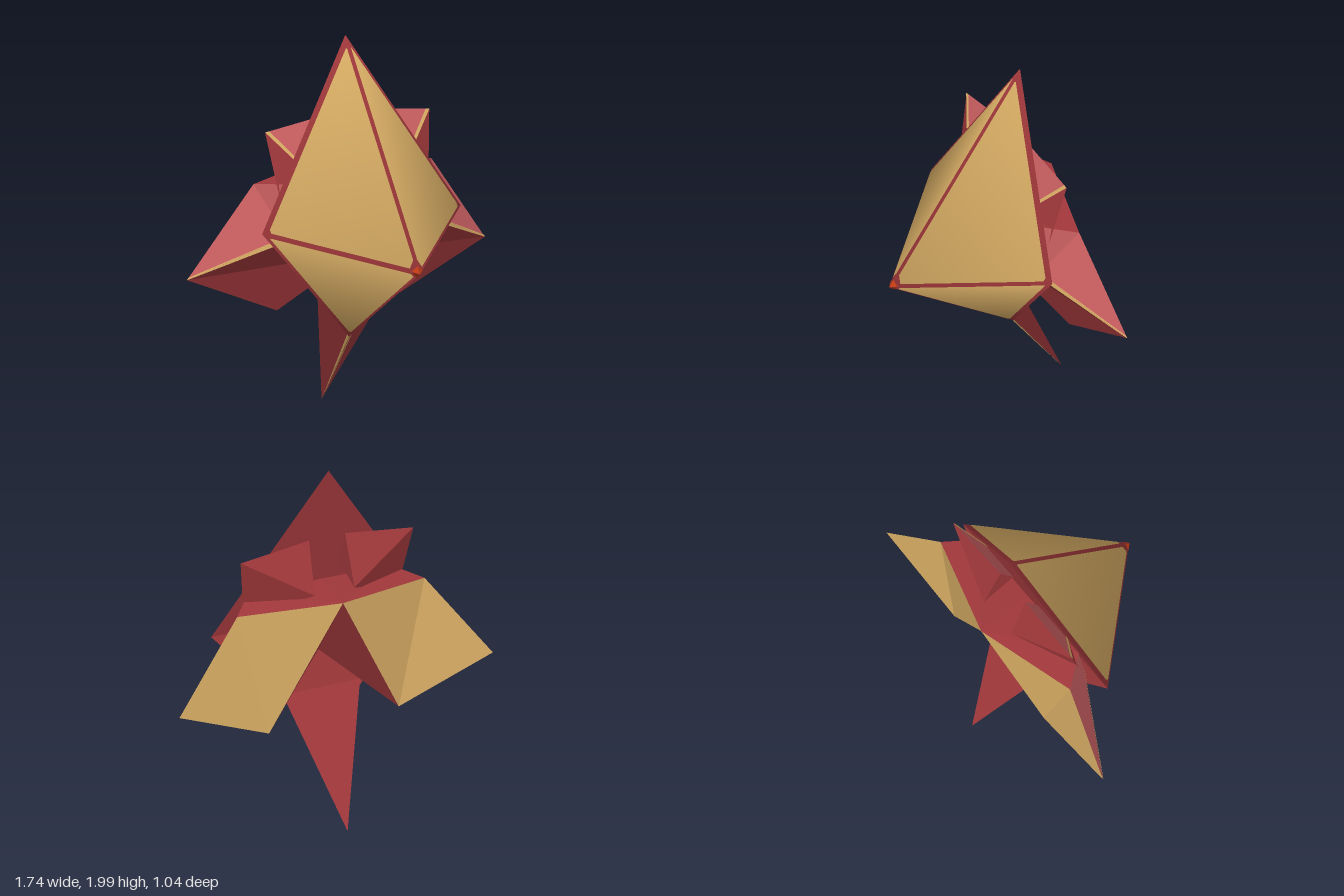
import * as THREE from 'three';

const mat = (name, color) => {
  const m = new THREE.MeshStandardMaterial({ color });
  m.name = name;
  return m;
};
const V = (x, y, z) => new THREE.Vector3(x, y, z);
const lerp = (a, b, t) => a.clone().lerp(b, t);

export function createModel() {
  const gold = mat('gold', 0xd9ae65);
  const red = mat('darkRed', 0xa1383b);
  const lightRed = mat('lightRed', 0xc85e60);
  const orange = mat('orangeRed', 0xc23a12);
  const model = new THREE.Group();

  // Flat faceted mesh; every triangle is turned away from the given inner point
  function facets(parent, name, material, faces, inside, lift = 0) {
    const pos = [];
    for (const f of faces) {
      for (let i = 1; i < f.length - 1; i++) {
        let [a, b, c] = [f[0], f[i], f[i + 1]];
        let n = lerp(b, a, 0).sub(a).cross(c.clone().sub(a));
        n = b.clone().sub(a).cross(c.clone().sub(a)).normalize();
        if (n.dot(a.clone().sub(inside)) < 0) {
          [b, c] = [c, b];
          n.negate();
        }
        for (const p of [a, b, c]) pos.push(...p.clone().addScaledVector(n, lift).toArray());
      }
    }
    const g = new THREE.BufferGeometry();
    g.setAttribute('position', new THREE.Float32BufferAttribute(pos, 3));
    g.computeVertexNormals();
    const mesh = new THREE.Mesh(g, material);
    mesh.name = name;
    parent.add(mesh);
  }
  const centre = (pts) => pts.reduce((s, p) => s.add(p), V(0, 0, 0)).divideScalar(pts.length);

  // Main pyramid shell: apex, top, left, bottom, right
  const P = [V(0, 0.92, 0.52), V(0, 2, -0.27), V(-0.58, 1.06, -0.1), V(0, 0.41, -0.23), V(0.58, 1.06, -0.1)];
  const sides = [[0, 1, 2], [0, 2, 3], [0, 3, 4], [0, 4, 1]];
  const shell = new THREE.BufferGeometry().setFromPoints(P);
  shell.setIndex(sides.flat());
  shell.computeVertexNormals();
  const N = P.map((p, i) => new THREE.Vector3().fromBufferAttribute(shell.attributes.normal, i));
  const shellMesh = new THREE.Mesh(shell, red);
  shellMesh.name = 'shell';
  model.add(shellMesh);
  facets(model, 'shellBack', red, [[P[1], P[2], P[4]], [P[3], P[4], P[2]]], V(0, 1, 0.2));

  // Gold panels inset in the four shell faces, with clipped corners
  const margin = [0.035, 0.014, 0.02, 0.025, 0.02];
  const cap = [0.925, 0.938, 0.935, 0.93, 0.935];
  for (const tri of sides) {
    const pos = [], nor = [], index = [];
    tri.forEach((v, i) => {
      const next = tri[(i + 1) % 3], prev = tri[(i + 2) % 3];
      for (const [j, k] of [[next, prev], [prev, next]]) {
        const w = [[v, cap[v]], [j, margin[j]], [k, 1 - cap[v] - margin[j]]];
        const p = V(0, 0, 0), n = V(0, 0, 0);
        for (const [q, t] of w) {
          p.addScaledVector(P[q], t);
          n.addScaledVector(N[q], t);
        }
        n.normalize();
        pos.push(...p.addScaledVector(n, 0.004).toArray());
        nor.push(...n.toArray());
      }
    });
    for (let i = 1; i < 5; i++) index.push(0, i, i + 1);
    const g = new THREE.BufferGeometry();
    g.setAttribute('position', new THREE.Float32BufferAttribute(pos, 3));
    g.setAttribute('normal', new THREE.Float32BufferAttribute(nor, 3));
    g.setIndex(index);
    const panel = new THREE.Mesh(g, gold);
    panel.name = 'goldPanel';
    model.add(panel);
  }

  // Small jewel on the apex
  const rim = [1, 2, 3, 4].map((i) => lerp(P[0], P[i], 0.045 / P[0].distanceTo(P[i])));
  facets(model, 'apexJewel', orange,
    rim.map((p, i) => [P[0], p, rim[(i + 1) % 4]]), V(0, 0.95, 0), 0.003);

  for (const s of [1, -1]) {
    const M = (x, y, z) => V(s * x, y, z);

    // Lower wing
    const wing = new THREE.Group();
    wing.name = s > 0 ? 'lowerWingLeft' : 'lowerWingRight';
    model.add(wing);
    const C = M(0, 1.32, -0.46), O = M(0.52, 1.27, -0.3), T = M(0.87, 0.79, -0.37), B = M(0.36, 0.57, -0.34);
    const F = M(0.41, 1.0, -0.115), G = M(0, 0.88, -0.135), H = M(0.4, 1.29, -0.145), K = M(0, 1.3, -0.15);
    const mid = centre([C, O, T, B, F, G, H, K]);
    facets(wing, 'wingBack', gold, [[C, O, B], [O, T, B]], mid);
    facets(wing, 'wingFront', lightRed, [[O, T, F, H]], mid);
    facets(wing, 'wingUnderside', red, [[T, F, G, B], [C, B, G], [C, O, H, K]], mid);
    facets(wing, 'wingTrim', gold, [[T, F, lerp(F, H, 0.1), lerp(T, O, 0.025)]], mid, 0.003);

    // Upper wing
    const upper = new THREE.Group();
    upper.name = s > 0 ? 'upperWingLeft' : 'upperWingRight';
    model.add(upper);
    const t = M(0.48, 1.55, -0.25), i = M(0.1, 1.6, -0.25), j = M(0.11, 1.33, -0.35);
    const d = M(0.43, 1.18, -0.17), f = M(0.33, 1.38, -0.16), k = M(0.1, 1.4, -0.165);
    const m = centre([t, i, j, d, f, k]);
    facets(upper, 'upperWingFront', lightRed, [[i, t, f, k]], m);
    facets(upper, 'upperWingBody', red, [[t, f, d], [t, i, j, d], [i, k, j], [j, d, f, k]], m);
    facets(upper, 'upperWingTrim', gold, [[t, f, lerp(f, k, 0.08), lerp(t, i, 0.06)]], m, 0.003);
  }

  // Tail spike with a gold ridge
  const tip = V(0, 0.01, -0.52), ridge = V(0, 0.41, -0.23);
  const kl = V(0.215, 0.68, -0.176), kr = V(-0.215, 0.68, -0.176);
  const inner = centre([tip, ridge, kl, kr]);
  facets(model, 'tail', red, [[kl, ridge, tip], [kr, ridge, tip], [kl, kr, tip]], inner);
  facets(model, 'tailTrim', gold,
    [kl, kr].map((e) => [ridge, tip, lerp(ridge, e, 0.06)]), inner, 0.003);

  return model;
}
